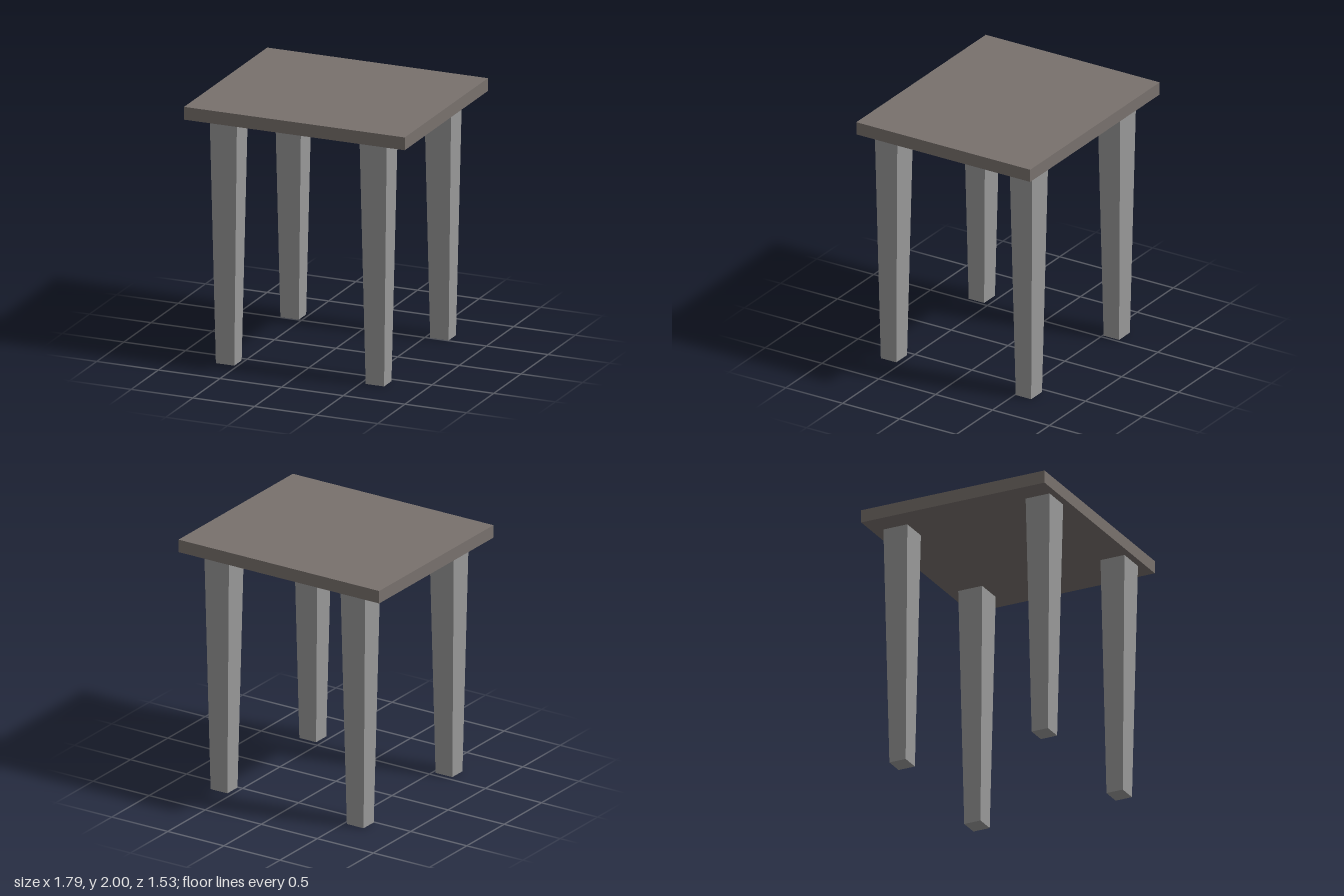
import * as THREE from 'three';

export function createModel() {
  const table = new THREE.Group();
  table.name = 'table';

  const topBrown = new THREE.MeshStandardMaterial({ color: 0x78716d });
  topBrown.name = 'warm grey brown';
  const legGrey = new THREE.MeshStandardMaterial({ color: 0x999999 });
  legGrey.name = 'mid grey';

  // Flat slab
  const slabHeight = 0.1;
  const legHeight = 1.9;
  const top = new THREE.Mesh(new THREE.BoxGeometry(1.79, slabHeight, 1.53), topBrown);
  top.name = 'tableTop';
  top.position.y = legHeight + slabHeight / 2;
  table.add(top);

  // Square leg, narrowing evenly towards the foot
  const legGeometry = new THREE.BoxGeometry(0.22, legHeight, 0.2);
  const footScale = 0.68;
  const corners = legGeometry.attributes.position;
  for (let i = 0; i < corners.count; i++) {
    if (corners.getY(i) < 0) {
      corners.setX(i, corners.getX(i) * footScale);
      corners.setZ(i, corners.getZ(i) * footScale);
    }
  }
  legGeometry.computeVertexNormals();

  // Four legs, set slightly off centre
  for (const [side, x] of [['Left', 0.615], ['Right', -0.6]]) {
    for (const [end, z] of [['front', 0.612], ['back', -0.575]]) {
      const leg = new THREE.Mesh(legGeometry, legGrey);
      leg.name = `${end}${side}Leg`;
      leg.position.set(x, legHeight / 2, z);
      table.add(leg);
    }
  }
  return table;
}
